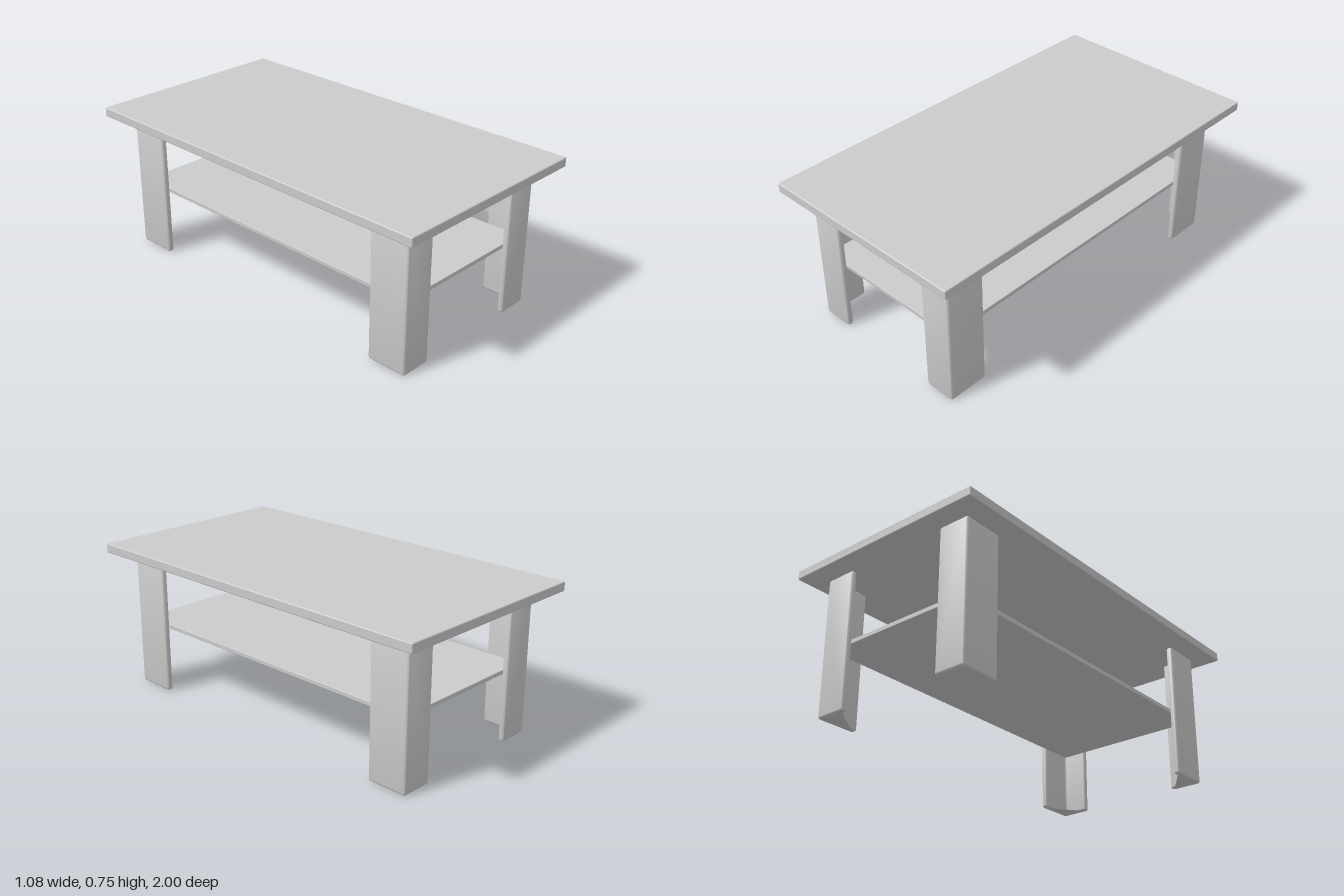
import * as THREE from 'three';
import { toCreasedNormals } from 'three/addons/utils/BufferGeometryUtils.js';
import { RoundedBoxGeometry } from 'three/addons/geometries/RoundedBoxGeometry.js';

const LEG_HEIGHT = 0.703;

// Outline with rounded corners through the given points
function roundedOutline(points, radius) {
  const shape = new THREE.Shape();
  const v = points.map(([x, y]) => new THREE.Vector2(x, y));
  v.forEach((p, i) => {
    const toward = (q) => p.clone().add(q.clone().sub(p).setLength(radius));
    const a = toward(v[(i + v.length - 1) % v.length]);
    const b = toward(v[(i + 1) % v.length]);
    if (i === 0) shape.moveTo(a.x, a.y);
    else shape.lineTo(a.x, a.y);
    shape.quadraticCurveTo(p.x, p.y, b.x, b.y);
  });
  shape.closePath();
  return shape;
}

// Angle-section leg with softened edges, standing at the +x, -z corner
function legGeometry() {
  const x0 = 0.275, x1 = 0.435, z0 = 0.692, z1 = 0.9, t = 0.031, bevel = 0.011;
  const outline = roundedOutline([
    [x1, z0], [x1, z1], [x0, z1], [x0, z1 - t], [x1 - t, z1 - t], [x1 - t, z0],
  ], 0.013);
  const geometry = new THREE.ExtrudeGeometry(outline, {
    depth: LEG_HEIGHT - 2 * bevel,
    bevelThickness: bevel,
    bevelSize: bevel,
    bevelOffset: -bevel,
    bevelSegments: 3,
    curveSegments: 4,
  });
  geometry.translate(0, 0, bevel);
  geometry.rotateX(-Math.PI / 2);
  return toCreasedNormals(geometry, 0.7);
}

export function createModel() {
  const model = new THREE.Group();
  model.name = 'coffeeTable';
  const material = new THREE.MeshStandardMaterial({ color: 0xcccccc });

  const add = (name, geometry, y = 0) => {
    const mesh = new THREE.Mesh(geometry, material);
    mesh.name = name;
    mesh.position.y = y;
    model.add(mesh);
    return mesh;
  };

  // Top board
  add('tableTop', new RoundedBoxGeometry(1.08, 0.047, 2, 3, 0.006), 0.7265);

  // Lower shelf, held inside the four leg angles
  add('shelf', new RoundedBoxGeometry(0.81, 0.022, 1.74, 2, 0.003), 0.346);

  // Four mirrored legs
  const leg = legGeometry();
  for (const [sx, side] of [[1, 'Left'], [-1, 'Right']]) {
    for (const [sz, end] of [[-1, 'front'], [1, 'back']]) {
      add(`${end}${side}Leg`, leg).scale.set(sx, 1, sz);
    }
  }
  return model;
}
